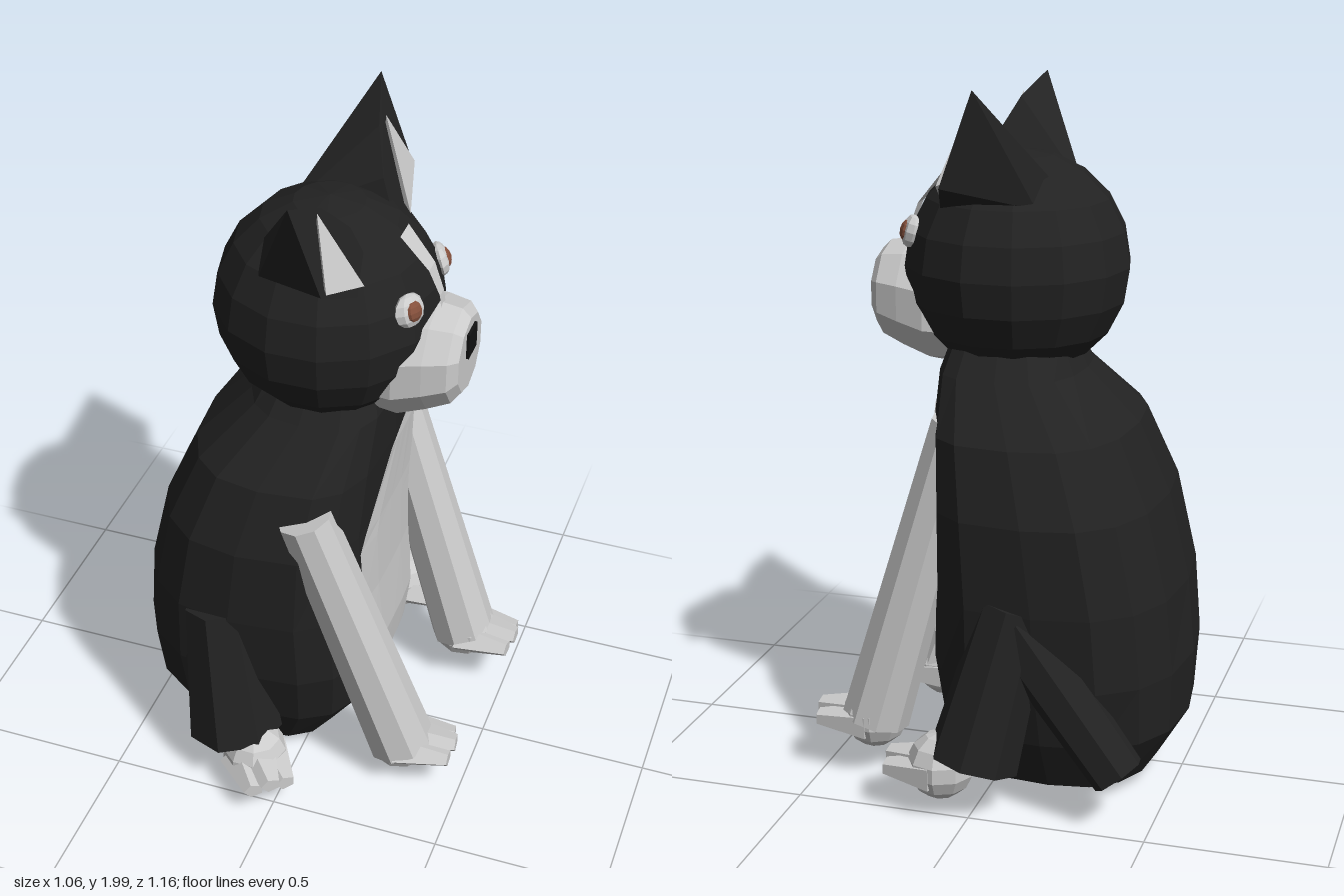
import * as THREE from 'three';
import { ConvexGeometry } from 'three/addons/geometries/ConvexGeometry.js';

const V = (x, y, z) => new THREE.Vector3(x, y, z);
const mat = (color, side = THREE.FrontSide) =>
  new THREE.MeshStandardMaterial({ color, flatShading: true, side });
const black = mat(0x222222);
const white = mat(0xcccccc);
const whiteThin = mat(0xcccccc, THREE.DoubleSide);
const brown = mat(0x85503c);

// body cross-sections: y, centre x, half depth (x), half width (z)
const BODY = [
  [0.01, -0.21, 0.08, 0.14], [0.05, -0.18, 0.25, 0.3], [0.2, -0.175, 0.345, 0.37],
  [0.38, -0.17, 0.36, 0.415], [0.6, -0.165, 0.345, 0.435], [0.85, -0.135, 0.315, 0.435],
  [1.05, -0.085, 0.275, 0.38], [1.2, -0.01, 0.2, 0.25], [1.3, 0, 0.16, 0.17],
];
const BODY_Z = -0.02;
// roundness exponents of the front and back halves (1 is an ellipse)
const FRONT = 0.6, BACK = 0.8;

function add(parent, name, geometry, material) {
  const mesh = new THREE.Mesh(geometry, material);
  mesh.name = name;
  parent.add(mesh);
  return mesh;
}

function build(points, index) {
  const g = new THREE.BufferGeometry().setFromPoints(points);
  g.setIndex(index);
  const flat = g.toNonIndexed();
  flat.computeVertexNormals();
  return flat;
}

// closed skin through equal-sized rings, capped at both ends
function loft(rings) {
  const n = rings[0].length, last = rings.length - 1, pts = rings.flat(), index = [];
  const centre = (ring) => ring.reduce((s, p) => s.add(p), V(0, 0, 0)).divideScalar(n);
  pts.push(centre(rings[0]), centre(rings[last]));
  for (let j = 0; j < n; j++) {
    const k = (j + 1) % n;
    for (let i = 0; i < last; i++) {
      const a = i * n + j, b = i * n + k, c = a + n, d = b + n;
      index.push(a, c, b, b, c, d);
    }
    index.push(pts.length - 2, j, k, pts.length - 1, last * n + k, last * n + j);
  }
  return build(pts, index);
}

// open sheet through equal-length rows
function sheet(rows) {
  const n = rows[0].length, index = [];
  for (let i = 0; i < rows.length - 1; i++)
    for (let j = 0; j < n - 1; j++) {
      const a = i * n + j;
      index.push(a, a + n, a + 1, a + 1, a + n, a + n + 1);
    }
  return build(rows.flat(), index);
}

// tapered limb between two points
function limb(parent, name, a, b, rTop, rBottom, sides, material) {
  const d = a.clone().sub(b);
  const m = add(parent, name, new THREE.CylinderGeometry(rTop, rBottom, d.length(), sides), material);
  m.position.copy(a).add(b).multiplyScalar(0.5);
  m.quaternion.setFromUnitVectors(V(0, 1, 0), d.normalize());
}

// round paw with three blunt toes; heading turns it away from +x
function paw(parent, name, pos, heading, reach) {
  const g = new THREE.Group();
  g.name = name;
  add(g, 'pad', new THREE.SphereGeometry(0.097, 9, 7), white);
  for (let i = -1; i <= 1; i++) {
    const shape = new THREE.CylinderGeometry(0.03, 0.068, reach, 5);
    shape.rotateZ(-Math.PI / 2).scale(1, 0.8, 1).translate(reach / 2 + 0.015, 0, 0);
    const toe = add(g, 'toe', shape, white);
    toe.position.set(i ? -0.012 : 0, i ? -0.012 : 0.005, i * 0.038);
    toe.rotation.y = -i * 0.07;
  }
  g.position.copy(pos);
  g.rotation.y = -heading;
  parent.add(g);
}

// front surface of the body at a height and side position
function bodyFront(y, z) {
  let i = 0;
  while (i < BODY.length - 2 && BODY[i + 1][0] < y) i++;
  const t = (y - BODY[i][0]) / (BODY[i + 1][0] - BODY[i][0]);
  const [cx, rx, rz] = [1, 2, 3].map((k) => THREE.MathUtils.lerp(BODY[i][k], BODY[i + 1][k], t));
  const v = Math.min(1, Math.abs(z - BODY_Z) / rz);
  return cx + rx * (1 - v ** (2 / FRONT)) ** (FRONT / 2);
}

export function createModel() {
  const dog = new THREE.Group();
  dog.name = 'sittingDog';

  // torso, squarer at the chest than at the back
  const N = 16;
  const power = (v, e) => Math.sign(v) * Math.abs(v) ** e;
  add(dog, 'body', loft(BODY.map(([y, cx, rx, rz]) =>
    Array.from({ length: N }, (_, j) => {
      const a = (j / N) * Math.PI * 2, c = Math.cos(a);
      const e = c > 0 ? FRONT : BACK;
      return V(cx + rx * power(c, e), y, BODY_Z + rz * power(Math.sin(a), e));
    }))), black);

  // white chest: height, then right and left limits
  const chest = [[0.25, -0.18, 0.0], [0.33, -0.19, 0.17], [0.38, -0.19, 0.175], [0.6, -0.19, 0.21],
    [0.8, -0.19, 0.235], [0.85, -0.18, 0.21], [1.05, -0.17, 0.05], [1.1, -0.15, -0.1]];
  add(dog, 'chestPatch', sheet(chest.map(([y, r, l]) =>
    Array.from({ length: 5 }, (_, j) => {
      const z = THREE.MathUtils.lerp(r, l, j / 4);
      return V(bodyFront(y, z) + 0.012, y, z);
    }))), whiteThin);

  // front legs and paws
  limb(dog, 'leftFrontLeg', V(0.045, 0.98, 0.335), V(0.31, 0.13, 0.24), 0.08, 0.1, 9, white);
  limb(dog, 'rightFrontLeg', V(0.1, 1.07, -0.24), V(0.355, 0.17, -0.262), 0.08, 0.1, 9, white);
  paw(dog, 'leftFrontPaw', V(0.305, 0.14, 0.235), -0.1, 0.155);
  paw(dog, 'rightFrontPaw', V(0.355, 0.18, -0.262), 0.03, 0.155);

  // hind legs and paws
  limb(dog, 'leftThigh', V(-0.22, 0.6, 0.34), V(-0.165, 0.16, 0.375), 0.1, 0.14, 7, black);
  limb(dog, 'leftHaunch', V(-0.32, 0.58, 0.3), V(-0.22, 0.2, 0.36), 0.06, 0.08, 6, black);
  limb(dog, 'rightThigh', V(-0.1, 0.6, -0.37), V(0.0, 0.16, -0.45), 0.1, 0.13, 8, black);
  paw(dog, 'leftHindPaw', V(-0.09, 0.115, 0.415), 0.9, 0.145);
  paw(dog, 'rightHindPaw', V(0.09, 0.145, -0.46), 0.12, 0.145);

  // tail tucked along the right side
  limb(dog, 'tail', V(-0.1, 0.55, -0.385), V(-0.41, 0.16, -0.425), 0.09, 0.078, 7, black);

  // head
  const R = 0.32, HEAD_Y = 1.482;
  add(dog, 'head', new THREE.SphereGeometry(R, 14, 10), black).position.set(0, HEAD_Y, 0);

  // muzzle rings: x, centre y, radius
  add(dog, 'muzzle', loft([[0.17, 1.35, 0.16], [0.23, 1.36, 0.175], [0.31, 1.375, 0.16],
    [0.375, 1.385, 0.14], [0.4, 1.39, 0.11]].map(([x, cy, r]) =>
    Array.from({ length: 10 }, (_, j) => {
      const a = (j / 10) * Math.PI * 2;
      return V(x, cy + r * Math.cos(a), -r * 1.03 * Math.sin(a));
    }))), white);
  add(dog, 'nose', new THREE.BoxGeometry(0.03, 0.075, 0.075), mat(0x111111)).position.set(0.393, 1.43, 0);

  // blaze up the forehead
  add(dog, 'blaze', sheet([[0.02, 0.022], [0.25, 0.018], [0.5, 0.026], [0.88, 0.036]].map(([a, w]) =>
    [-w, 0, w].map((z) => V((R + 0.006) * Math.cos(a), HEAD_Y + (R + 0.006) * Math.sin(a), z)))), whiteThin);

  for (const s of [1, -1]) {
    const side = s > 0 ? 'left' : 'right';

    // eyes
    const eye = new THREE.Group();
    eye.name = side + 'Eye';
    add(eye, 'eyeWhite', new THREE.SphereGeometry(0.052, 8, 6), white).scale.set(0.5, 0.9, 1);
    const iris = add(eye, 'iris', new THREE.SphereGeometry(0.03, 8, 6), brown);
    iris.scale.x = 0.6;
    iris.position.x = 0.014;
    eye.position.set(0.268, 1.58, s * 0.137);
    eye.rotation.set(0, -s * 0.45, 0.25);
    dog.add(eye);

    // ears, the right one slightly taller
    const ear = new THREE.Group();
    ear.name = side + 'Ear';
    const lift = s > 0 ? -0.015 : 0.015, dz = s > 0 ? 0.015 : -0.025;
    const P = (x, y, z) => V(x, y, s * (z + dz));
    add(ear, 'earShell', new ConvexGeometry([P(0.025, 1.985 + lift, 0.37), P(0.065, 1.91, 0.235),
      P(0.11, 1.81, 0.14), P(0.14, 1.73, 0.12), P(0.16, 1.66, 0.23), P(0.115, 1.74, 0.38),
      P(-0.16, 1.68, 0.09), P(-0.11, 1.67, 0.23)]), black);
    add(ear, 'earLining', new ConvexGeometry([P(0.07, 1.92, 0.28), P(0.17, 1.68, 0.2),
      P(0.126, 1.745, 0.37), P(0.06, 1.77, 0.27)]), white);
    dog.add(ear);
  }
  return dog;
}
